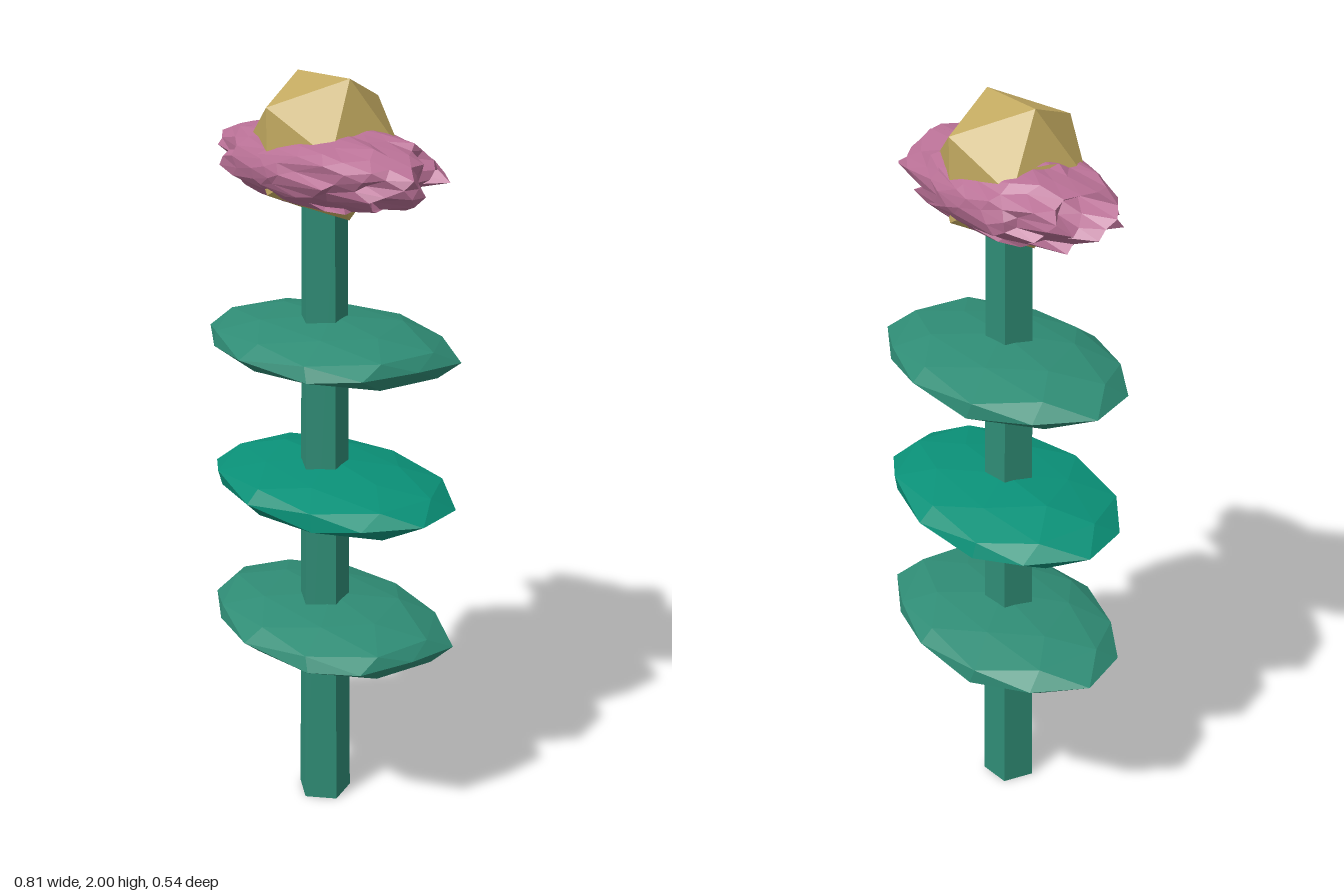
import * as THREE from 'three';

const CX = -0.013, CZ = 0.017; // axis of the stem and bloom

const mat = (color) => new THREE.MeshStandardMaterial({ color, flatShading: true });

// Repeatable value in -1..1 for a vertex, so shared corners move together
function noise(v, seed) {
  const k = (n) => Math.round(n * 1000);
  const s = Math.sin(k(v.x) * 12.9898 + k(v.y) * 78.233 + k(v.z) * 37.719 + seed * 4.137) * 43758.5453;
  return (s - Math.floor(s)) * 2 - 1;
}

// Faceted ellipsoid: radii per axis, jitter per axis in units, optional pulled-in +x tip
function blob(detail, radii, jitter, seed, tip) {
  const geo = new THREE.IcosahedronGeometry(1, detail);
  const pos = geo.attributes.position;
  const v = new THREE.Vector3();
  for (let i = 0; i < pos.count; i++) {
    v.fromBufferAttribute(pos, i);
    const j = [0, 1, 2].map((a) => noise(v, seed + a * 11) * jitter[a]);
    const x = tip && v.x > 0.98 ? tip : v.x * radii[0] + j[0];
    pos.setXYZ(i, x, v.y * radii[1] + j[1], v.z * radii[2] + j[2]);
  }
  geo.computeVertexNormals();
  return geo;
}

export function createModel() {
  const group = new THREE.Group();
  const add = (name, geo, material, x, y, z) => {
    const mesh = new THREE.Mesh(geo, material);
    mesh.name = name;
    mesh.position.set(x, y, z);
    group.add(mesh);
    return mesh;
  };

  const green = mat(0x2f8c75);
  const brightGreen = mat(0x0a9178);

  // Five-sided tapering stem
  const stem = add('stem', new THREE.CylinderGeometry(0.061, 0.075, 1.75, 5), green, CX, 0.875, CZ);
  stem.rotation.y = THREE.MathUtils.degToRad(9);

  // Three flat leaf discs
  const leafJitter = [0.012, 0.004, 0.01];
  const leaf = blob(1, [0.395, 0.07, 0.272], leafJitter, 3, 0.352);
  const middleLeaf = blob(1, [0.39, 0.07, 0.268], leafJitter, 8, 0.395);
  add('lowerLeaf', leaf, green, -0.01, 0.537, 0);
  add('middleLeaf', middleLeaf, brightGreen, -0.01, 0.93, 0);
  add('upperLeaf', leaf, green, -0.01, 1.322, 0);

  // Spiky petals, ragged along x only
  const petals = blob(4, [0.355, 0.106, 0.19], [0.06, 0, 0], 5);
  add('petals', petals, mat(0xb87095), 0, 1.785, CZ);

  // Faceted flower centre
  add('flowerCentre', new THREE.IcosahedronGeometry(0.201), mat(0xc2a960), CX, 1.829, CZ);

  return group;
}
